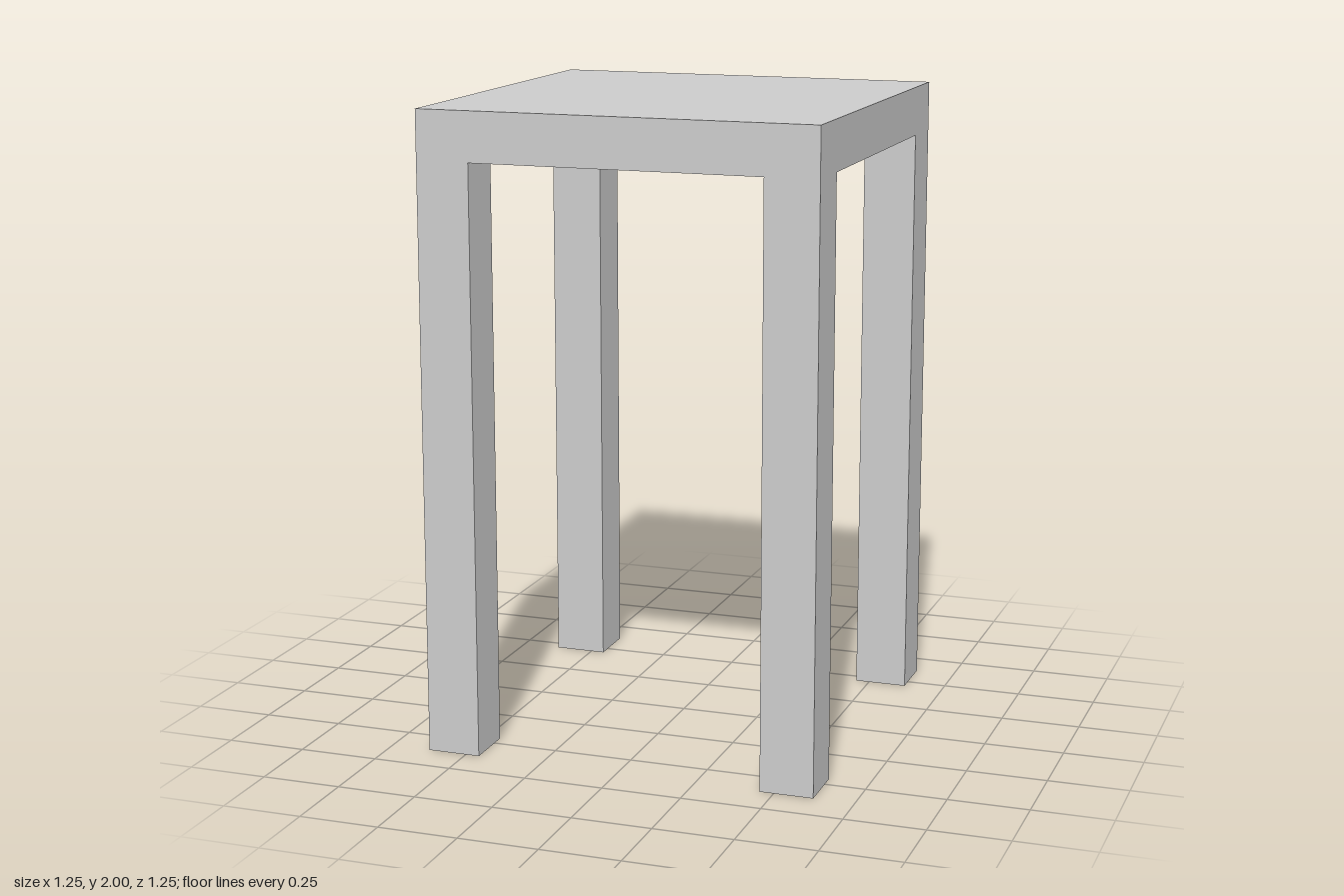
import * as THREE from 'three';

const WIDTH = 1.246;    // square seat side
const HEIGHT = 2;
const SEAT = 0.154;     // seat thickness
const LEG = 0.167;      // square leg side

export function createModel() {
  const model = new THREE.Group();
  model.name = 'stool';
  const material = new THREE.MeshStandardMaterial({ color: 0xcccccc });

  // Square slab seat
  const seat = new THREE.Mesh(new THREE.BoxGeometry(WIDTH, SEAT, WIDTH), material);
  seat.name = 'seat';
  seat.position.y = HEIGHT - SEAT / 2;
  model.add(seat);

  // Four square legs, flush with the seat corners
  const legHeight = HEIGHT - SEAT;
  const legGeometry = new THREE.BoxGeometry(LEG, legHeight, LEG);
  const offset = (WIDTH - LEG) / 2;
  for (const [zName, z] of [['front', 1], ['back', -1]]) {
    for (const [xName, x] of [['Left', 1], ['Right', -1]]) {
      const leg = new THREE.Mesh(legGeometry, material);
      leg.name = `${zName}${xName}Leg`;
      leg.position.set(x * offset, legHeight / 2, z * offset);
      model.add(leg);
    }
  }
  return model;
}
